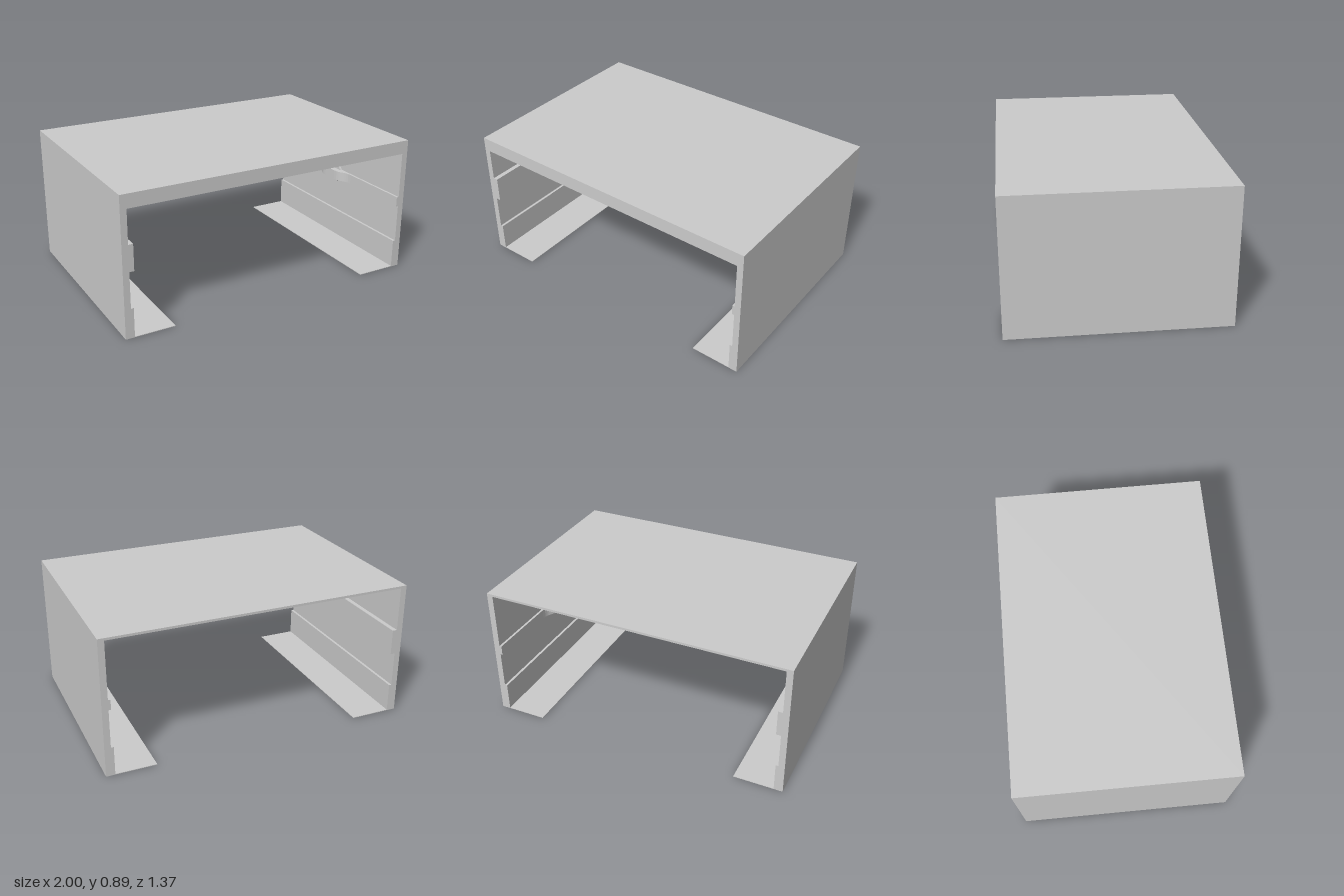
import * as THREE from 'three';

const D = 1.366; // full depth
const material = new THREE.MeshStandardMaterial({ color: 0xcccccc });

export function createModel() {
  const group = new THREE.Group();

  const add = (name, geometry) => {
    const mesh = new THREE.Mesh(geometry, material);
    mesh.name = name;
    group.add(mesh);
    return mesh;
  };
  // Box given by its minimum and maximum corners
  const block = (name, x0, x1, y0, y1, z0 = -D / 2, z1 = D / 2) =>
    add(name, new THREE.BoxGeometry(x1 - x0, y1 - y0, z1 - z0))
      .position.set((x0 + x1) / 2, (y0 + y1) / 2, (z0 + z1) / 2);

  // Thin top sheet with two cross beams below it
  block('topPanel', -1, 1, 0.872, 0.887);
  block('frontBeam', -0.96, 0.96, 0.8, 0.872, 0.61, D / 2);
  block('middleBeam', -0.96, 0.96, 0.8, 0.872, -0.036, 0.036);

  // Side walls, lower rails and bottom flanges
  for (const [side, s] of [['left', 1], ['right', -1]]) {
    const mirrored = (name, a, b, y0, y1) =>
      block(side + name, Math.min(a * s, b * s), Math.max(a * s, b * s), y0, y1);
    mirrored('Wall', 0.96, 1, 0, 0.872);
    mirrored('LowerRail', 0.943, 0.96, 0.004, 0.19);
    mirrored('BottomFlange', 0.683, 0.96, 0, 0.004);
  }

  // Wide guide rail on the right wall
  block('rightGuideRail', -0.96, -0.93, 0.42, 0.587);

  // Narrow rail on the left wall, bulging inward at mid-depth
  const shape = new THREE.Shape();
  shape.moveTo(0.96, D / 2);
  shape.lineTo(0.945, D / 2);
  shape.lineTo(0.945, 0.19);
  shape.bezierCurveTo(0.945, 0.11, 0.905, 0.13, 0.905, 0.05);
  shape.lineTo(0.905, -0.05);
  shape.bezierCurveTo(0.905, -0.13, 0.945, -0.11, 0.945, -0.19);
  shape.lineTo(0.945, -D / 2);
  shape.lineTo(0.96, -D / 2);
  shape.closePath();
  const rail = new THREE.ExtrudeGeometry(shape, { depth: 0.065, bevelEnabled: false, curveSegments: 8 });
  rail.rotateX(Math.PI / 2);
  add('leftBulgedRail', rail).position.y = 0.503;

  // Round mounting pad behind the bulge
  const pad = new THREE.CylinderGeometry(0.073, 0.073, 0.015, 32);
  pad.rotateZ(Math.PI / 2);
  add('bulgeMountPad', pad).position.set(0.9525, 0.473, 0);

  return group;
}
